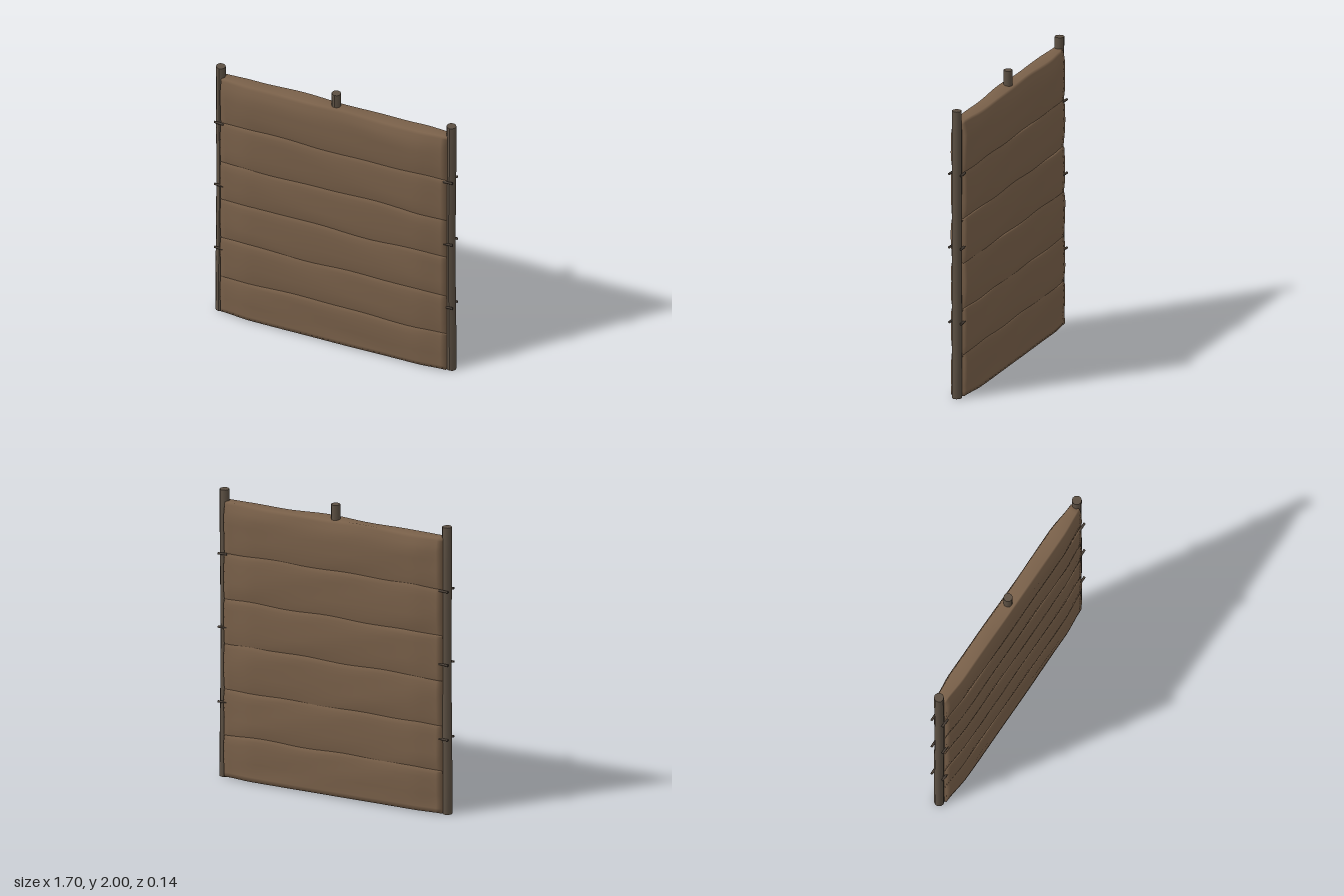
import * as THREE from 'three';
import { mergeVertices } from 'three/addons/utils/BufferGeometryUtils.js';

const hide = new THREE.MeshStandardMaterial({ color: 0x7a614a });
const wood = new THREE.MeshStandardMaterial({ color: 0x5c5043 });
const peg = new THREE.MeshStandardMaterial({ color: 0x4a4037 });

// Soft irregular wave, different for every seed
const wave = (x, seed) =>
  0.5 * Math.sin(x * 6.3 + seed * 2.1) + 0.3 * Math.sin(x * 12.1 + seed * 4.7) + 0.2 * Math.sin(x * 3.1 + seed);

// Band profile as [height fraction, half depth]
const PROFILE = [[0, 0.049], [0.08, 0.055], [0.22, 0.063], [0.4, 0.067], [0.6, 0.068], [0.78, 0.068], [0.9, 0.065], [0.97, 0.06], [1, 0.052]];
const FIRST = [[0, 0.064], [0.1, 0.066], ...PROFILE.slice(2)];
const LAST = [...PROFILE.slice(0, 5), [0.74, 0.068], [0.85, 0.06], [0.95, 0.05], [1, 0.042]];

// Bulging band swept along x from closed cross-sections, with wavy edges
function bandGeometry(y0, y1, profile, seed, first) {
  const cols = 40, half = 0.8, pos = [], idx = [];
  const n = profile.length * 2;
  for (let i = 0; i <= cols; i++) {
    const x = -half + (2 * half * i) / cols;
    const fade = 1 - THREE.MathUtils.smoothstep(Math.abs(x), 0.58, 0.8);
    const taper = 0.72 + 0.28 * fade;
    for (let j = 0; j < n; j++) {
      const front = j < profile.length;
      const [v, d] = profile[front ? j : n - 1 - j];
      const top = y1 + 0.01 * wave(x, seed + (front ? 0 : 0.8)) * fade - 0.012 * (1 - fade) * (y1 < 1.8 ? 1 : 0);
      const bottom = first ? y0 : y0 - 0.035;
      const bump = 0.003 * wave(x * 0.8 + v, seed + (front ? 3 : 5));
      pos.push(x, bottom + (top - bottom) * v, (front ? 1 : -1) * (d * taper + bump));
    }
  }
  for (let i = 0; i < cols; i++) {
    for (let j = 0; j < n; j++) {
      const k = (j + 1) % n;
      const a = i * n + j, b = i * n + k, c = a + n, d = b + n;
      idx.push(a, c, d, a, d, b);
    }
  }
  // End caps
  const e = cols * n;
  for (let j = 0; j < profile.length - 1; j++) {
    const k = n - 1 - j;
    idx.push(j, j + 1, k - 1, j, k - 1, k);
    idx.push(e + j, e + k - 1, e + j + 1, e + j, e + k, e + k - 1);
  }
  const g = new THREE.BufferGeometry();
  g.setAttribute('position', new THREE.Float32BufferAttribute(pos, 3));
  g.setIndex(idx);
  const m = mergeVertices(g);
  m.computeVertexNormals();
  return m;
}

// Slightly crooked round pole
function poleGeometry(radius, height, seed) {
  const g = new THREE.CylinderGeometry(radius * 0.95, radius, height, 10, 8);
  g.translate(0, height / 2, 0);
  const p = g.attributes.position;
  for (let i = 0; i < p.count; i++) {
    const y = p.getY(i);
    p.setX(i, p.getX(i) + 0.003 * Math.sin(y * 3 + seed));
    p.setZ(i, p.getZ(i) + 0.002 * Math.sin(y * 4 + seed * 2));
  }
  g.computeVertexNormals();
  return g;
}

export function createModel() {
  const group = new THREE.Group();
  const add = (geo, mat, name, x = 0, y = 0, z = 0) => {
    const m = new THREE.Mesh(geo, mat);
    m.name = name;
    m.position.set(x, y, z);
    group.add(m);
    return m;
  };

  // Six overlapping bands
  const edges = [0.01, 0.312, 0.622, 0.937, 1.243, 1.562, 1.898];
  for (let i = 0; i < 6; i++) {
    const profile = i === 0 ? FIRST : i === 5 ? LAST : PROFILE;
    add(bandGeometry(edges[i], edges[i + 1], profile, i * 1.7 + 1, i === 0), hide, `band${i + 1}`);
  }

  // Posts
  add(poleGeometry(0.032, 2, 1), wood, 'middlePost');
  for (const s of [-1, 1]) {
    const side = s > 0 ? 'left' : 'right';
    add(poleGeometry(0.034, 1.975, s * 2), wood, `${side}Post`, s * 0.815);

    // Small pegs holding each post, front and back
    for (const y of [0.52, 1.035, 1.54]) {
      for (const f of [-1, 1]) {
        const p = add(new THREE.CylinderGeometry(0.008, 0.008, 0.065, 8), peg, `${side}Peg`, s * 0.812, y, f * 0.042);
        p.rotation.z = Math.PI / 2 + 0.05 * s * f;
      }
    }
  }
  return group;
}
